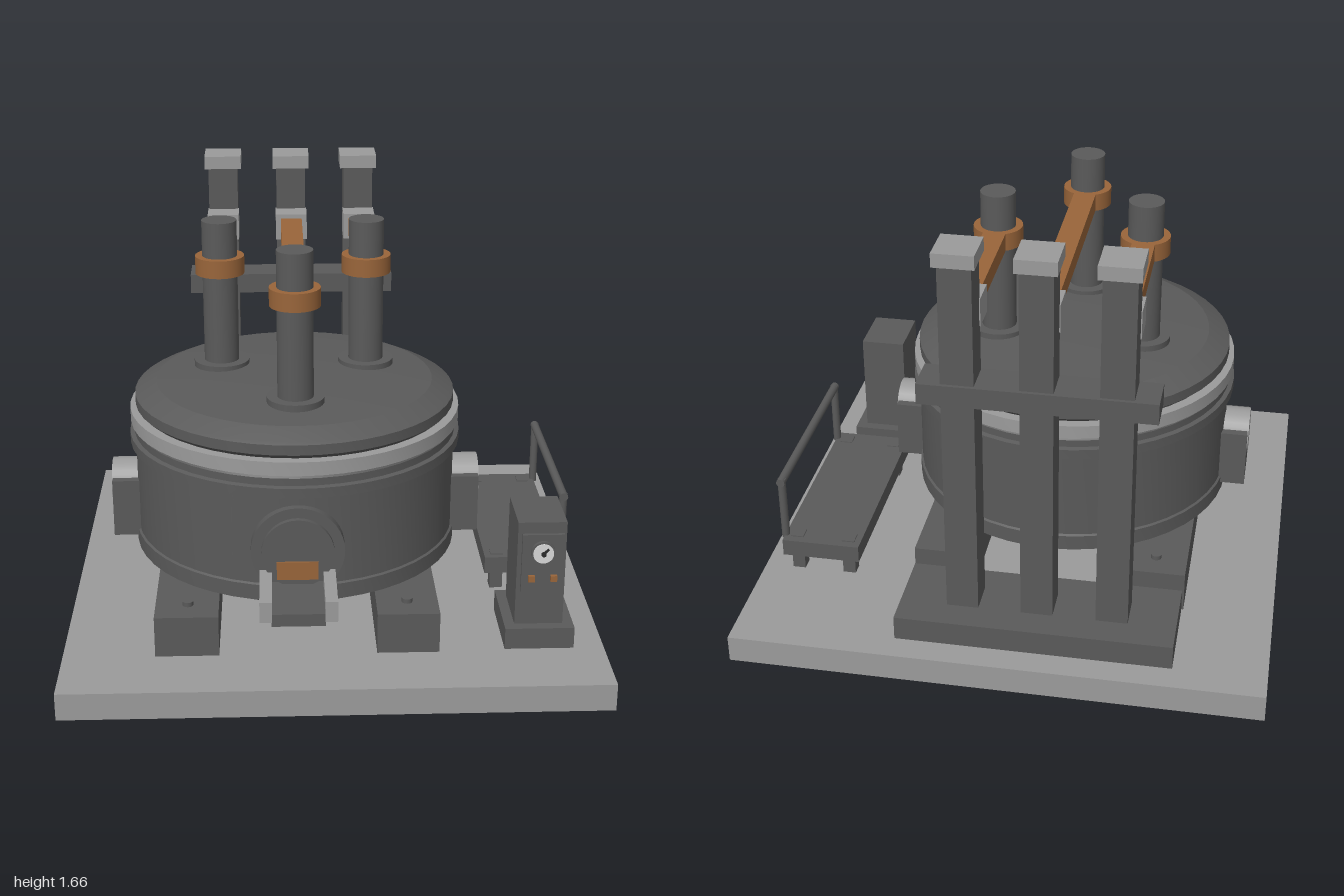
import * as THREE from 'three';
import { toCreasedNormals } from 'three/addons/utils/BufferGeometryUtils.js';

const mat = (name, color) => {
  const m = new THREE.MeshStandardMaterial({ color });
  m.name = name;
  return m;
};

export function createModel() {
  const dark = mat('dark steel', 0x5a5a5a);
  const light = mat('light steel', 0x9b9b9b);
  const copper = mat('copper', 0x99653a);
  const white = mat('dial white', 0xd8d8d8);
  const black = mat('needle black', 0x2a2a2a);

  const model = new THREE.Group();
  model.name = 'arcFurnace';

  const add = (name, geo, material, x = 0, y = 0, z = 0) => {
    const m = new THREE.Mesh(geo, material);
    m.name = name;
    m.position.set(x, y, z);
    model.add(m);
    return m;
  };
  // box given by its min and max on each axis
  const box = (name, material, x0, x1, y0, y1, z0, z1) =>
    add(name, new THREE.BoxGeometry(x1 - x0, y1 - y0, z1 - z0), material,
      (x0 + x1) / 2, (y0 + y1) / 2, (z0 + z1) / 2);
  // cylinder running along the chosen axis from a to b
  const rod = (name, material, r, axis, a, b, p, seg = 32) => {
    const geo = new THREE.CylinderGeometry(r, r, b - a, seg);
    if (axis === 'x') geo.rotateZ(Math.PI / 2);
    if (axis === 'z') geo.rotateX(Math.PI / 2);
    const m = add(name, geo, material, ...p);
    m.position[axis] = (a + b) / 2;
    return m;
  };
  const CX = -0.133, CZ = 0.102; // furnace axis
  const lathe = (name, material, pts) => {
    const geo = new THREE.LatheGeometry(pts.map(([r, y]) => new THREE.Vector2(r, y)), 48);
    return add(name, toCreasedNormals(geo, 0.25), material, CX, 0, CZ);
  };

  // floor slab, dark on its underside
  box('basePlate', [light, light, light, dark, light, light], -1, 1, 0, 0.105, -1, 1);

  // furnace vessel with bowl bottom and stiffening bands
  lathe('vessel', dark, [
    [0, 0.195], [0.2, 0.203], [0.38, 0.225], [0.53, 0.262], [0.59, 0.305],
    [0.625, 0.315], [0.625, 0.375], [0.617, 0.38], [0.617, 0.725], [0.638, 0.73],
    [0.638, 0.768], [0.621, 0.772], [0.621, 0.8], [0.608, 0.815], [0, 0.815],
  ]);
  lathe('sealRing', light, [[0, 0.815], [0.634, 0.815], [0.634, 0.868], [0, 0.868]]);
  lathe('roof', dark, [
    [0, 0.868], [0.595, 0.868], [0.613, 0.885], [0.613, 0.924], [0.6, 0.932],
    [0.53, 0.965], [0.4, 0.976], [0.2, 0.984], [0, 0.987],
  ]);

  // support beams with anchor bolts
  for (const [x0, x1, bx] of [[-0.66, -0.425, -0.54], [0.157, 0.387, 0.272]]) {
    box('supportBeam', dark, x0, x1, 0.105, 0.263, -0.54, 0.743);
    for (const z of [-0.44, 0.642]) rod('anchorBolt', dark, 0.02, 'y', 0.26, 0.28, [bx, 0, z], 16);
  }

  // side trunnions
  for (const s of [-1, 1]) {
    const [a, b] = s > 0 ? [0.44, 0.579] : [-0.842, -0.71];
    box('trunnionBracket', dark, a, b, 0.352, 0.58, -0.006, 0.22);
    rod('trunnionPin', light, 0.09, 'x', a - (s < 0 ? 0.004 : 0), b + (s > 0 ? 0.004 : 0), [0, 0.54, 0.107]);
  }

  // electrodes, copper arms and the masts that carry them
  for (const [x, z] of [[-0.414, -0.01], [CX, 0.415], [0.147, -0.01]]) {
    rod('electrode', dark, 0.067, 'y', 0.95, 1.555, [x, 0, z]);
    rod('electrodeCollar', dark, 0.107, 'y', 0.95, 1.0, [x, 0, z]);
    rod('electrodeClamp', copper, 0.094, 'y', 1.348, 1.417, [x, 0, z]);
    box('conductorArm', copper, x - 0.043, x + 0.043, 1.348, 1.417, -0.56, z - 0.05);
    box('armHolder', light, x - 0.064, x + 0.064, 1.328, 1.433, -0.67, -0.552);
    box('mast', dark, x - 0.06, x + 0.06, 0.2, 1.605, -0.785, -0.657);
    box('mastCap', light, x - 0.075, x + 0.075, 1.605, 1.657, -0.803, -0.643);
  }
  box('mastCrossbar', dark, -0.56, 0.292, 1.07, 1.15, -0.798, -0.648);
  box('mastFoot', dark, -0.653, 0.385, 0.105, 0.2, -0.897, -0.55);

  // tapping door
  rod('doorFrame', dark, 0.17, 'z', 0.6, 0.745, [CX, 0.525, 0], 40);
  rod('doorPlate', dark, 0.132, 'z', 0.7, 0.765, [CX, 0.525, 0], 40);
  box('tapHole', copper, -0.21, -0.06, 0.425, 0.495, 0.7, 0.772);

  // pouring spout
  box('spoutFloor', dark, -0.23, -0.04, 0.358, 0.405, 0.68, 0.995);
  box('spoutWall', light, -0.272, -0.228, 0.375, 0.453, 0.73, 0.998);
  box('spoutWall', light, -0.042, 0.002, 0.375, 0.453, 0.73, 0.998);

  // control cabinet with dial and buttons
  box('cabinetPlinth', dark, 0.63, 0.887, 0.105, 0.188, 0.419, 0.73);
  box('cabinet', dark, 0.668, 0.847, 0.188, 0.6, 0.46, 0.69);
  box('cabinetPanel', dark, 0.684, 0.838, 0.325, 0.556, 0.69, 0.703);
  rod('dialBezel', dark, 0.045, 'z', 0.7, 0.715, [0.76, 0.487, 0]);
  rod('dialFace', white, 0.038, 'z', 0.714, 0.72, [0.76, 0.487, 0]);
  const needle = box('dialNeedle', black, 0.764, 0.772, 0.483, 0.511, 0.72, 0.725);
  needle.rotation.z = -0.75;
  rod('dialHub', black, 0.009, 'z', 0.718, 0.728, [0.76, 0.487, 0], 16);
  for (const x of [0.721, 0.803]) box('button', copper, x - 0.012, x + 0.012, 0.371, 0.395, 0.7, 0.716);

  // service platform with legs and handrail
  box('platform', dark, 0.61, 0.915, 0.182, 0.25, -0.557, 0.262);
  for (const x of [0.66, 0.865])
    for (const z of [-0.5, 0.212]) box('platformLeg', dark, x - 0.025, x + 0.025, 0.105, 0.254, z - 0.025, z + 0.025);
  for (const z of [-0.511, 0.224]) rod('railPost', dark, 0.016, 'y', 0.24, 0.505, [0.914, 0, z], 12);
  rod('handrail', dark, 0.017, 'z', -0.528, 0.24, [0.914, 0.495, 0], 12);

  return model;
}
